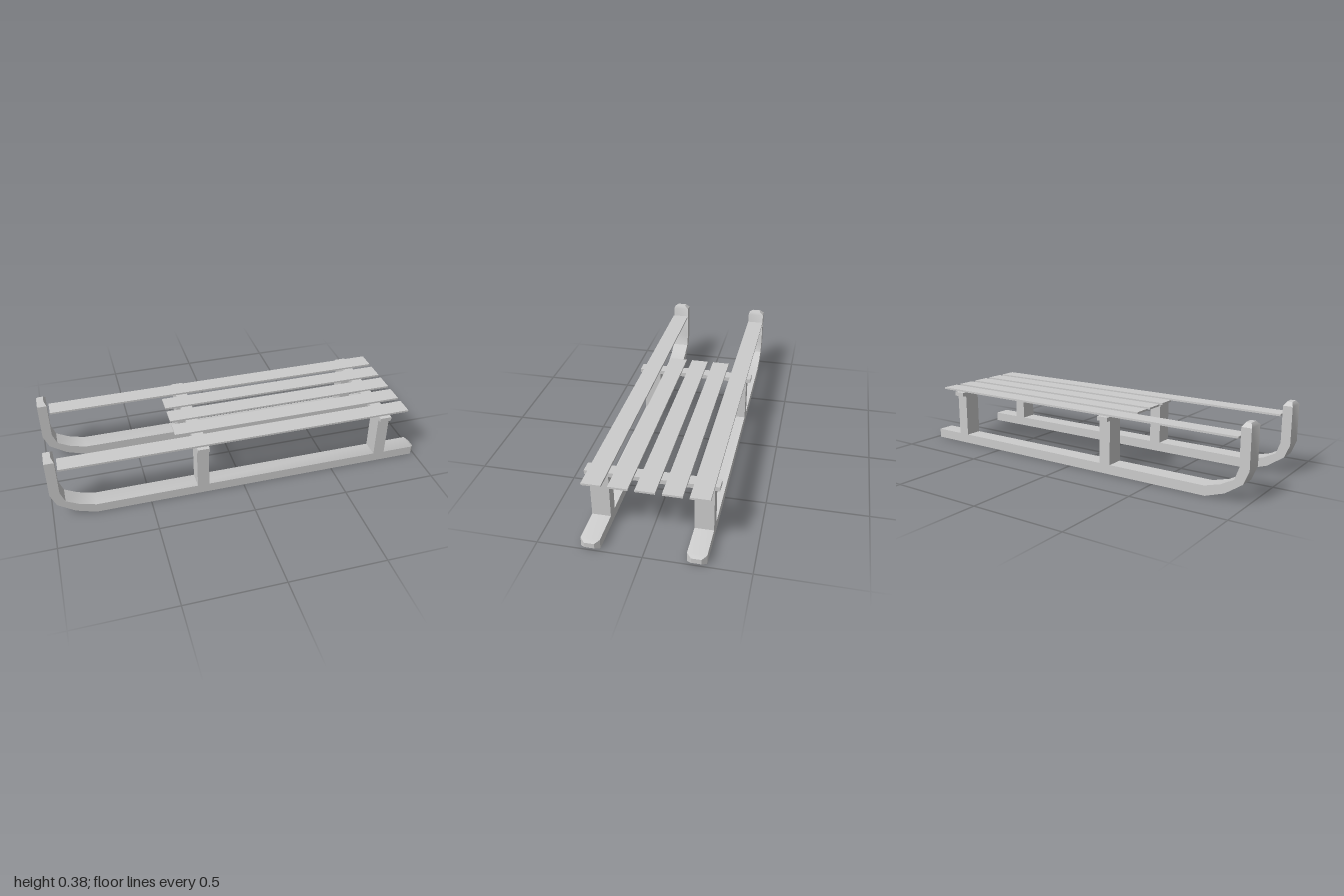
import * as THREE from 'three';
import { toCreasedNormals } from 'three/addons/utils/BufferGeometryUtils.js';

const RUNNER_Z = 0.247;
const RUNNER_W = 0.092;

// Runner cross-sections along its length: outer x, y, inner x, y, half width
const SECTIONS = [
  [-0.988, 0.376, -0.962, 0.376, 0.024],
  [-1, 0.357, -0.95, 0.357, 0.046],
  [-1, 0.16, -0.95, 0.167, 0.046],
  [-0.972, 0.092, -0.928, 0.107, 0.046],
  [-0.885, 0.033, -0.863, 0.073, 0.046],
  [-0.785, 0, -0.78, 0.05, 0.046],
  [0.98, 0, 0.98, 0.05, 0.046],
  [1, 0.012, 1, 0.038, 0.024],
];

// Rectangular loft with bevelled ends
function runnerGeometry() {
  const positions = [];
  const index = [];
  for (const [ox, oy, ix, iy, w] of SECTIONS) {
    positions.push(ox, oy, -w, ox, oy, w, ix, iy, w, ix, iy, -w);
  }
  const quad = (a, b, c, d) => index.push(a, b, c, a, c, d);
  for (let s = 0; s < SECTIONS.length - 1; s++) {
    for (let k = 0; k < 4; k++) {
      const a = s * 4 + k;
      const b = s * 4 + (k + 1) % 4;
      quad(a, a + 4, b + 4, b);
    }
  }
  const e = (SECTIONS.length - 1) * 4;
  quad(0, 1, 2, 3);
  quad(e + 3, e + 2, e + 1, e);
  const geo = new THREE.BufferGeometry();
  geo.setAttribute('position', new THREE.Float32BufferAttribute(positions, 3));
  geo.setIndex(index);
  return toCreasedNormals(geo, 0.6);
}

export function createModel() {
  const sled = new THREE.Group();
  sled.name = 'sled';
  const material = new THREE.MeshStandardMaterial({ color: 0xcccccc });

  const add = (name, geometry, x = 0, y = 0, z = 0) => {
    const mesh = new THREE.Mesh(geometry, material);
    mesh.name = name;
    mesh.position.set(x, y, z);
    sled.add(mesh);
  };
  // Box given by its extents in x and y, its centre in z and its width
  const bar = (name, x0, x1, y0, y1, z, width) =>
    add(name, new THREE.BoxGeometry(x1 - x0, y1 - y0, width),
      (x0 + x1) / 2, (y0 + y1) / 2, z);

  const runner = runnerGeometry();
  for (const [side, s] of [['front', 1], ['back', -1]]) {
    // Curved runner and the long rail above it
    add(`${side}Runner`, runner, 0, 0, s * RUNNER_Z);
    bar(`${side}Rail`, -0.94, 0.92, 0.301, 0.311, s * RUNNER_Z, 0.093);

    // Upright posts
    for (const x of [-0.22, 0.78]) {
      bar(`${side}Post`, x - 0.031, x + 0.031, 0.045, 0.279, s * RUNNER_Z, RUNNER_W);
    }
  }

  // Crossbars joining the posts
  for (const x of [-0.22, 0.78]) {
    bar('crossbar', x - 0.031, x + 0.031, 0.279, 0.301, 0, 0.632);
  }

  // Short seat slats
  for (const z of [-0.124, 0, 0.124]) {
    bar('seatSlat', -0.335, 0.92, 0.301, 0.311, z, 0.093);
  }
  return sled;
}
